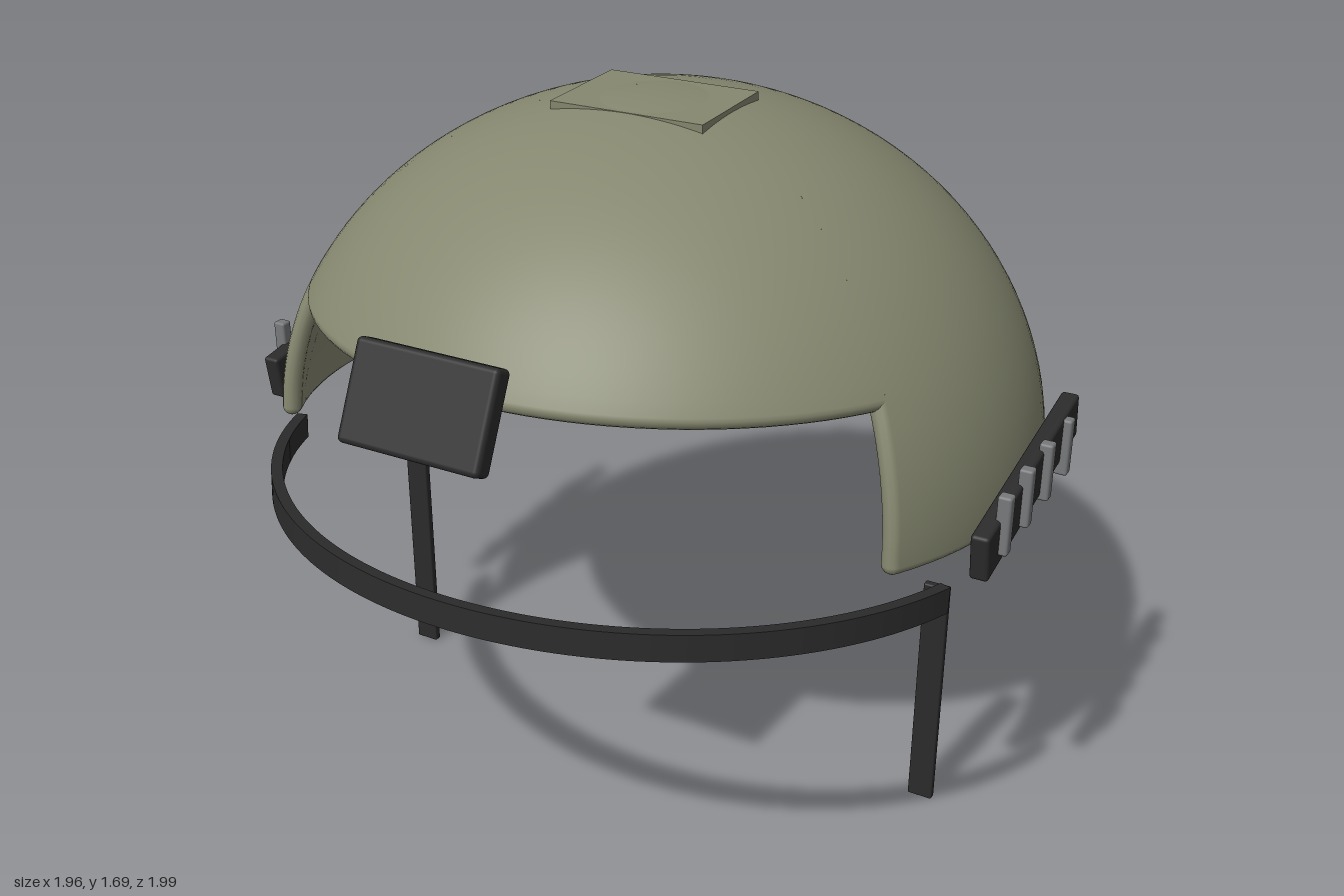
import * as THREE from 'three';
import { RoundedBoxGeometry } from 'three/addons/geometries/RoundedBoxGeometry.js';

const paint = (name, color) => {
  const m = new THREE.MeshStandardMaterial({ color });
  m.name = name;
  return m;
};

export function createModel() {
  const olive = paint('olive', 0x85876f);
  const black = paint('charcoal', 0x2b2b2b);
  const grey = paint('lug grey', 0x77787a);
  const model = new THREE.Group();
  model.name = 'helmet';

  const add = (parent, name, geometry, material, pos = [0, 0, 0], tilt = 0) => {
    const mesh = new THREE.Mesh(geometry, material);
    mesh.name = name;
    mesh.position.set(...pos);
    mesh.rotation.x = tilt;
    parent.add(mesh);
    return mesh;
  };

  // Shell: a unit hemisphere, stretched and tipped back slightly
  const shell = new THREE.Group();
  shell.name = 'shell';
  shell.scale.set(0.925, 0.838, 0.95);
  shell.position.set(0, 0.856, -0.04);
  shell.rotation.x = -0.07;
  model.add(shell);

  const thick = 0.05, mid = 1 - thick / 2, lip = thick / 2;
  const rimLat = 0.02, browLat = 0.446, cut = THREE.MathUtils.degToRad(61);

  // Cross-section from the inner crown, around the rounded lip, to the outer crown
  const profile = (lat) => {
    const pts = [], n = 32;
    const at = (r, a) => new THREE.Vector2(Math.max(0, r * Math.cos(a)), r * Math.sin(a));
    for (let i = 0; i <= n; i++) pts.push(at(1 - thick, Math.PI / 2 + (lat - Math.PI / 2) * i / n));
    for (let i = 1; i < 8; i++) {
      const t = Math.PI * i / 8;
      pts.push(at(mid - lip * Math.cos(t), lat - (lip / mid) * Math.sin(t)));
    }
    for (let i = 0; i <= n; i++) pts.push(at(1, lat + (Math.PI / 2 - lat) * i / n));
    return pts;
  };
  add(shell, 'browShell', new THREE.LatheGeometry(profile(browLat), 40, -cut, 2 * cut), olive);
  add(shell, 'rearShell', new THREE.LatheGeometry(profile(rimLat), 80, cut, 2 * (Math.PI - cut)), olive);

  // Rounded edges down both sides of the face opening
  for (const s of [1, -1]) {
    const pts = [];
    for (let i = 0; i <= 6; i++) {
      const a = rimLat + (browLat - rimLat) * i / 6;
      pts.push(new THREE.Vector3(s * Math.sin(cut) * Math.cos(a), Math.sin(a), Math.cos(cut) * Math.cos(a)).multiplyScalar(mid));
    }
    add(shell, 'openingEdge', new THREE.TubeGeometry(new THREE.CatmullRomCurve3(pts), 16, lip, 12), olive);
    add(shell, 'openingCorner', new THREE.SphereGeometry(lip, 12, 8), olive, pts[0].toArray());
  }

  // Crown and rear patches
  add(model, 'crownPatch', new THREE.BoxGeometry(0.385, 0.02, 0.275), olive, [0, 1.677, -0.005], 0.02);
  add(model, 'rearPatch', new THREE.BoxGeometry(0.33, 0.19, 0.015), olive, [0, 1.243, -0.942], 0.37);

  // Front mount block
  add(model, 'frontMount', new RoundedBoxGeometry(0.335, 0.215, 0.05, 3, 0.012), black, [0, 1.307, 0.932], -0.45);

  // Curved band below the face opening
  const arc = new THREE.Shape();
  const from = THREE.MathUtils.degToRad(18), to = Math.PI - from;
  arc.absarc(0, 0, 0.925, from, to, false);
  arc.absarc(0, 0, 0.898, to, from, true);
  const band = new THREE.ExtrudeGeometry(arc, { depth: 0.062, bevelEnabled: false, curveSegments: 48 });
  band.translate(0, 0, -0.031).rotateX(Math.PI / 2);
  add(model, 'faceBand', band, black, [0, 0.757, 0.005], -0.08);

  // Side rails with lugs, and hanging straps
  for (const s of [1, -1]) {
    const side = new THREE.Group();
    side.name = s > 0 ? 'leftRail' : 'rightRail';
    model.add(side);
    add(side, 'rail', new RoundedBoxGeometry(0.042, 0.113, 0.61, 2, 0.008), black, [s * 0.938, 0.943, -0.005], 0.142);
    for (let i = 0; i < 4; i++) {
      add(side, 'lug', new RoundedBoxGeometry(0.032, 0.14, 0.03, 2, 0.006), grey, [s * 0.962, 0.953, 0.218 - i * 0.139]);
    }
    add(model, s > 0 ? 'leftStrap' : 'rightStrap', new RoundedBoxGeometry(0.062, 0.61, 0.02, 2, 0.004), black, [s * 0.746, 0.305, -0.027]);
  }
  return model;
}
